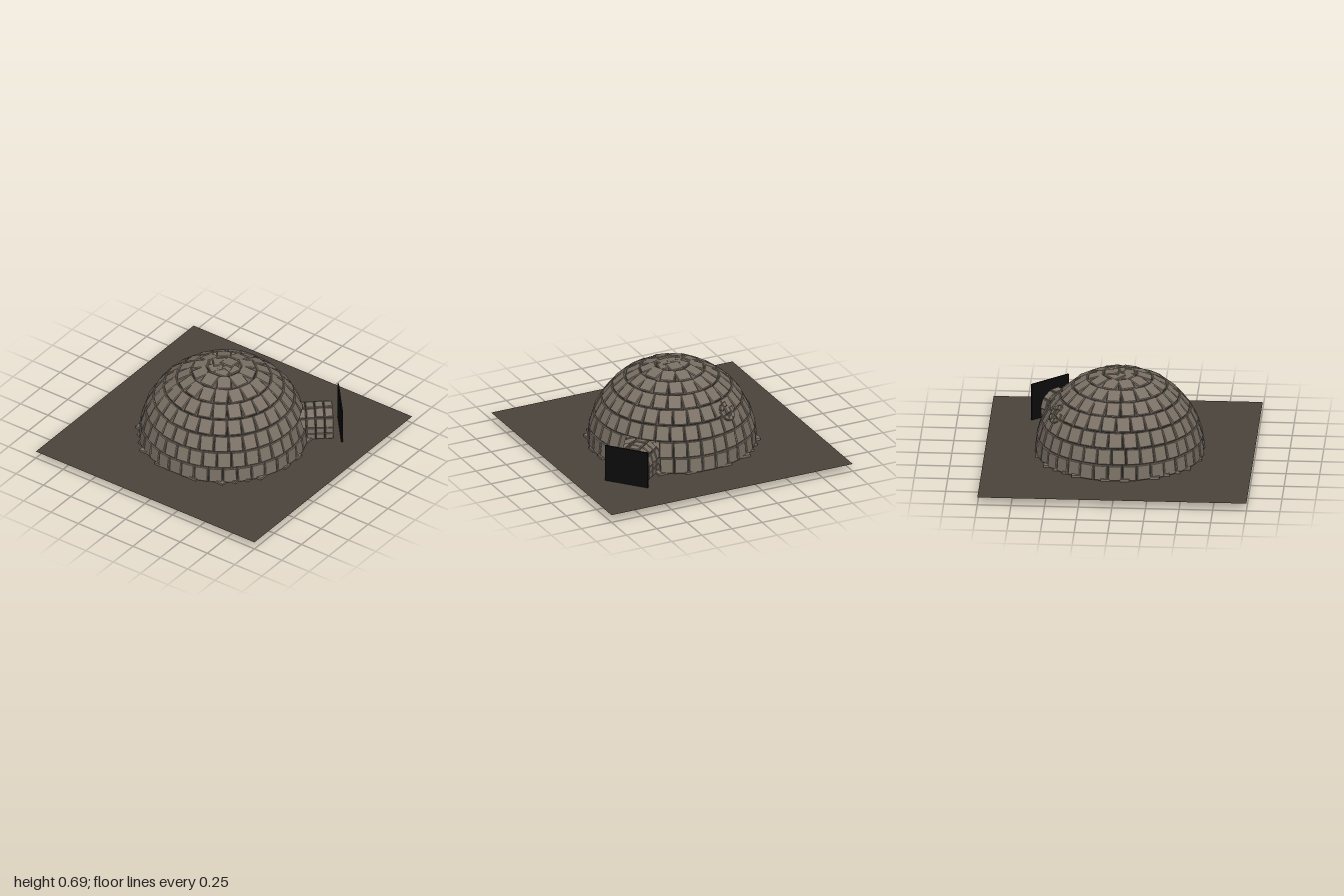
import * as THREE from 'three';
import { mergeGeometries } from 'three/addons/utils/BufferGeometryUtils.js';

const GROUND_Y = 0.059, RADIUS = 0.627;
const DOOR = Math.atan2(0.76, -0.65); // heading of the tunnel

export function createModel() {
  const stone = new THREE.MeshStandardMaterial({ color: 0x7b7166 });
  stone.name = 'stone';
  const earth = new THREE.MeshStandardMaterial({ color: 0x4c443c, side: THREE.DoubleSide });
  earth.name = 'earth';
  const black = new THREE.MeshStandardMaterial({ color: 0x0c0c0c });
  black.name = 'black';

  let seed = 7;
  const jitter = (amount) => {
    seed = (seed * 16807) % 2147483647;
    return (seed / 2147483647 - 0.5) * 2 * amount;
  };

  const model = new THREE.Group();
  const add = (name, geometry, material, parent = model) => {
    const mesh = new THREE.Mesh(geometry, material);
    mesh.name = name;
    parent.add(mesh);
    return mesh;
  };

  // Chamfered block whose outer face lies on z = 0 and whose body extends to -z
  const block = (w, h, d, bevel = 0.006) => {
    const x = w / 2 - bevel, y = h / 2 - bevel;
    const shape = new THREE.Shape([
      new THREE.Vector2(-x, -y), new THREE.Vector2(x, -y),
      new THREE.Vector2(x, y), new THREE.Vector2(-x, y),
    ]);
    const geo = new THREE.ExtrudeGeometry(shape, {
      depth: d - 2 * bevel, bevelEnabled: true, bevelSegments: 1,
      bevelSize: bevel, bevelThickness: bevel,
    });
    return geo.translate(0, 0, bevel - d);
  };

  // Copy of a block placed at a point, facing along a direction, with a small roll
  const placed = (geo, position, direction, roll = 0) => {
    const o = new THREE.Object3D();
    o.position.copy(position);
    o.lookAt(position.clone().add(direction));
    o.rotateZ(roll);
    o.updateMatrix();
    return geo.clone().applyMatrix4(o.matrix);
  };

  const onSphere = (elevation, heading) => new THREE.Vector3(
    Math.cos(elevation) * Math.sin(heading), Math.sin(elevation),
    Math.cos(elevation) * Math.cos(heading));

  // Dome: seven rings of blocks, with openings for the tunnel and the vent
  const STEP = Math.PI / 16;
  const ventDir = onSphere(0.62, Math.atan2(-0.23, -0.46));
  const domeBlocks = [];
  for (let row = 0; row < 7; row++) {
    const elevation = (row + 0.5) * STEP;
    const ring = RADIUS * Math.cos(elevation);
    const count = Math.round(2 * Math.PI * ring / 0.109);
    const width = 2 * Math.PI * ring / count - 0.006;
    const geo = block(width, 0.118, 0.065);
    for (let i = 0; i < count; i++) {
      const heading = (i + (row % 2) / 2) / count * 2 * Math.PI;
      const dir = onSphere(elevation, heading);
      const side = ring * Math.sin(heading - DOOR);
      if (row < 2 && Math.cos(heading - DOOR) > 0 && Math.abs(side) < 0.14) continue;
      if (dir.angleTo(ventDir) * RADIUS < 0.06) continue;
      const pos = dir.clone().multiplyScalar(RADIUS + jitter(0.004));
      const face = dir.clone().add(new THREE.Vector3(jitter(0.03), jitter(0.03), jitter(0.03)));
      domeBlocks.push(placed(geo, pos, face, jitter(0.025)));
    }
  }
  add('dome', mergeGeometries(domeBlocks), stone).position.y = GROUND_Y;

  // Crown: loosely overlapping slabs closing the top
  const crownBlocks = [];
  const slab = block(0.105, 0.11, 0.04);
  for (let i = 0; i < 5; i++) {
    const dir = onSphere(Math.PI / 2 - 0.1, i / 5 * 2 * Math.PI + 0.5);
    const pos = dir.clone().multiplyScalar(RADIUS + jitter(0.006));
    crownBlocks.push(placed(slab, pos, dir, jitter(0.4)));
  }
  add('crown', mergeGeometries(crownBlocks), stone).position.y = GROUND_Y;

  // Vent: a small ring of bricks lining the hole in the dome
  const ventBlocks = [];
  const ventGeo = block(0.042, 0.035, 0.09, 0.004);
  for (let i = 0; i < 8; i++) {
    const a = i / 8 * 2 * Math.PI;
    const brick = ventGeo.clone().translate(0, 0.055, jitter(0.01)).rotateZ(a);
    ventBlocks.push(placed(brick, ventDir.clone().multiplyScalar(RADIUS + 0.004), ventDir));
  }
  add('vent', mergeGeometries(ventBlocks), stone).position.y = GROUND_Y;

  // Entrance tunnel: arched courses of blocks running outward along +z
  const entrance = new THREE.Group();
  entrance.name = 'entrance';
  entrance.rotation.y = DOOR;
  model.add(entrance);
  const stations = [];
  for (const s of [-1, 1]) for (const y of [0.028, 0.08]) stations.push([s * 0.13, GROUND_Y + y, s, 0, 0.05]);
  for (let i = 0; i < 5; i++) {
    const a = (i + 0.5) * Math.PI / 5;
    stations.push([0.13 * Math.cos(a), 0.164 + 0.126 * Math.sin(a), Math.cos(a), Math.sin(a), 0.075]);
  }
  const tunnelBlocks = [];
  for (let course = 0; course < 4; course++) {
    for (const [x, y, nx, ny, size] of stations) {
      const geo = block(size, 0.064, 0.04, 0.005);
      // Turn the outer face to +y, then lean it to the arch normal
      geo.rotateX(-Math.PI / 2).rotateZ(Math.atan2(-nx, ny) + jitter(0.03));
      tunnelBlocks.push(geo.translate(x, y + jitter(0.003), 0.57 + course * 0.068));
    }
  }
  add('tunnel', mergeGeometries(tunnelBlocks), stone, entrance);

  // Dark upright panel in front of the tunnel mouth
  add('doorPanel', new THREE.BoxGeometry(0.345, 0.345, 0.012), black, entrance)
    .position.set(0, 0.1725, 0.864);

  // Floor: staggered paving slabs, some sunk through the ground
  const floorSlabs = [];
  for (let row = -8; row <= 8; row++) {
    for (let col = -5; col <= 5; col++) {
      const x = (col + (row % 2 ? 0.5 : 0)) * 0.128, z = row * 0.073;
      if (Math.hypot(x, z) > 0.605) continue;
      const geo = new THREE.BoxGeometry(0.122, 0.018, 0.068);
      floorSlabs.push(geo.translate(x, GROUND_Y + 0.009 + jitter(0.004), z));
    }
  }
  add('floor', mergeGeometries(floorSlabs), stone);

  // Square of earth the dome stands on
  add('earthSheet', new THREE.PlaneGeometry(2, 2).rotateX(-Math.PI / 2), earth)
    .position.y = GROUND_Y;

  return model;
}
